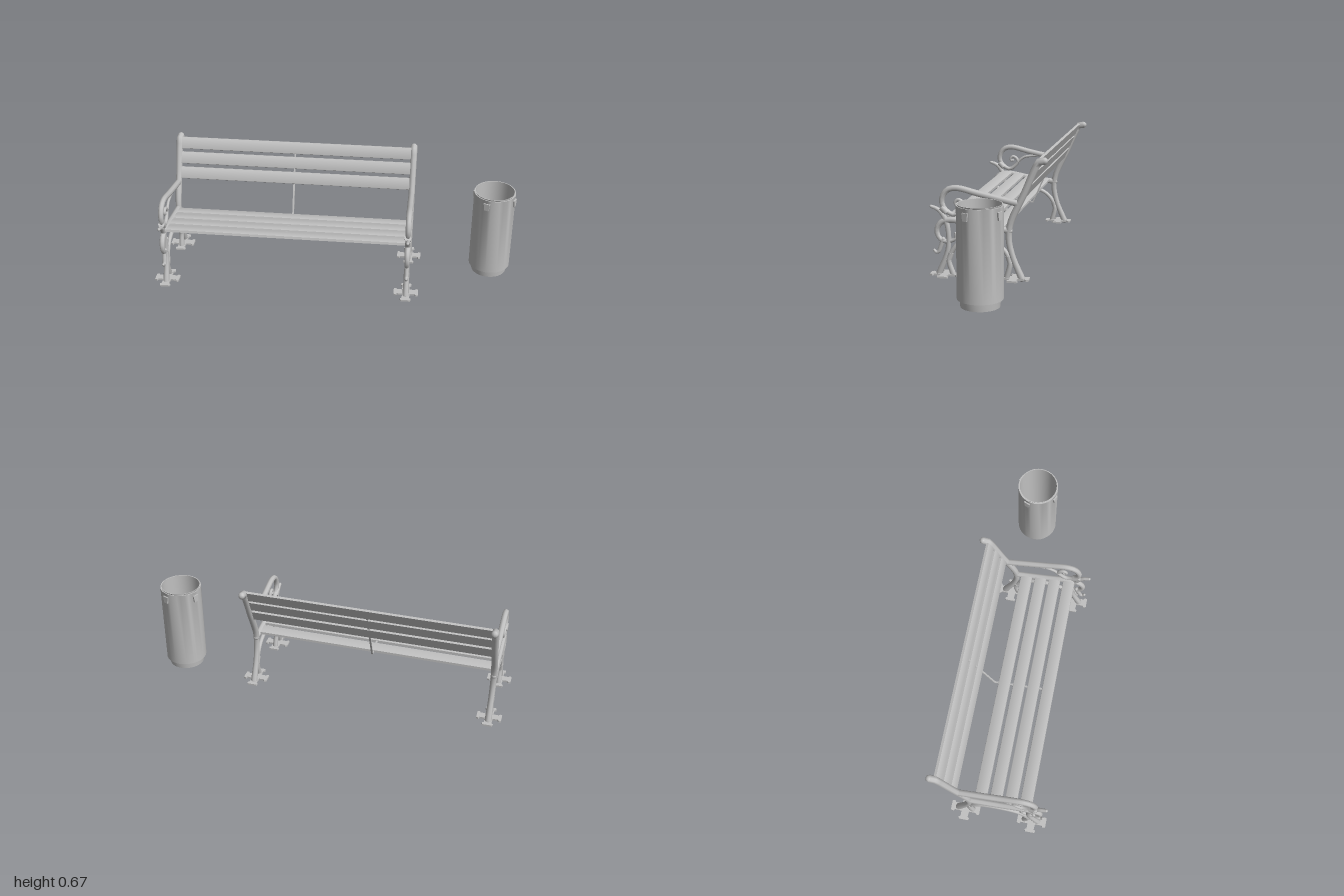
import * as THREE from 'three';
import { toCreasedNormals } from 'three/addons/utils/BufferGeometryUtils.js';

const iron = new THREE.MeshStandardMaterial({ color: 0xc0c0c0 });
iron.name = 'light grey';

function part(name, geometry, parent) {
  const mesh = new THREE.Mesh(geometry, iron);
  mesh.name = name;
  parent.add(mesh);
  return mesh;
}

// Cast rod through [z, y] points; radii are spread evenly along its length
function rod(name, points, radii, parent, steps = points.length * 3) {
  const curve = new THREE.CatmullRomCurve3(points.map(([z, y]) => new THREE.Vector3(0, y, z)), false, 'centripetal');
  const sides = 8;
  const geo = new THREE.TubeGeometry(curve, steps, 1, sides);
  const pos = geo.attributes.position;
  const v = new THREE.Vector3();
  const radiusAt = (u) => {
    const f = u * (radii.length - 1);
    const k = Math.min(Math.floor(f), radii.length - 2);
    return THREE.MathUtils.lerp(radii[k], radii[k + 1], f - k);
  };
  for (let i = 0; i <= steps; i++) {
    const c = curve.getPointAt(i / steps);
    for (let j = 0; j <= sides; j++) {
      const n = i * (sides + 1) + j;
      v.fromBufferAttribute(pos, n).sub(c).multiplyScalar(radiusAt(i / steps)).add(c);
      pos.setXYZ(n, v.x, v.y, v.z);
    }
  }
  part(name, geo, parent);
  for (const u of [0, 1]) {
    const cap = part(name + 'End', new THREE.SphereGeometry(radiusAt(u) * 0.98, 8, 6), parent);
    cap.position.copy(curve.getPointAt(u));
  }
}

// Band clamping rods together; (dz, dy) is its axis
function collar(z, y, dz, dy, radius, length, parent) {
  const band = part('collar', toCreasedNormals(new THREE.CylinderGeometry(radius, radius, length, 8), 0.9), parent);
  band.position.set(0, y, z);
  band.rotation.x = Math.atan2(dz, dy);
}

// Cross-shaped foot plate with flared arms
function footPlate(z, parent) {
  const shape = new THREE.Shape();
  const arm = [[0.02, 0.022], [0.05, 0.02], [0.056, 0.03], [0.068, 0.026], [0.068, -0.026], [0.056, -0.03], [0.05, -0.02]];
  for (let k = 0; k < 4; k++) {
    const a = -k * Math.PI / 2;
    const reach = k % 2 ? 1.19 : 1;
    arm.forEach(([px, py], i) => {
      const qx = i ? px * reach : px;
      const x = qx * Math.cos(a) - py * Math.sin(a);
      const y = qx * Math.sin(a) + py * Math.cos(a);
      if (k === 0 && i === 0) shape.moveTo(x, y);
      else shape.lineTo(x, y);
    });
  }
  const geo = new THREE.ExtrudeGeometry(shape, { depth: 0.01, bevelEnabled: false });
  geo.rotateX(-Math.PI / 2);
  part('footPlate', geo, parent).position.set(0, 0.002, z);
}

function sideFrame(x) {
  const g = new THREE.Group();
  g.name = 'sideFrame';
  g.position.x = x;

  rod('backPost', [[-0.185, 0.01], [-0.135, 0.13], [-0.115, 0.22], [-0.122, 0.3], [-0.195, 0.465], [-0.255, 0.605],
    [-0.272, 0.638], [-0.302, 0.643]], [0.019, 0.016, 0.017, 0.018, 0.018, 0.019, 0.02], g);
  rod('frontLeg', [[0.266, 0.01], [0.216, 0.15], [0.218, 0.27], [0.24, 0.33], [0.27, 0.362], [0.308, 0.376]],
    [0.018, 0.015, 0.014, 0.014, 0.015, 0.009], g);
  rod('lowerBrace', [[0.19, 0.01], [0.213, 0.09], [0.195, 0.135], [0.154, 0.185], [0.1, 0.21], [0.045, 0.217],
    [-0.01, 0.21], [-0.07, 0.18], [-0.11, 0.13], [-0.122, 0.09], [-0.105, 0.01]],
    [0.016, 0.013, 0.012, 0.013, 0.012, 0.013, 0.016], g);

  // Arm rest curling round to meet itself
  rod('armRest', [[-0.17, 0.412], [0.04, 0.455], [0.177, 0.482], [0.225, 0.464], [0.249, 0.41], [0.23, 0.363],
    [0.18, 0.337], [0.143, 0.362], [0.118, 0.394], [0.082, 0.42], [0.04, 0.428], [-0.03, 0.434]],
    [0.017, 0.017, 0.017, 0.016, 0.015, 0.012, 0.008, 0.008], g);
  rod('armScroll', [[0.122, 0.385], [0.14, 0.412], [0.16, 0.419], [0.175, 0.404], [0.17, 0.392], [0.16, 0.394]],
    [0.01, 0.01, 0.009, 0.008], g);

  // Seat rail with its front scrolls
  rod('seatRail', [[-0.12, 0.265], [0.04, 0.285], [0.198, 0.308], [0.25, 0.295], [0.277, 0.255], [0.27, 0.215],
    [0.243, 0.191], [0.2, 0.193], [0.172, 0.21], [0.174, 0.235]],
    [0.017, 0.017, 0.017, 0.017, 0.015, 0.013, 0.008], g);
  rod('lowerScroll', [[0.243, 0.2], [0.257, 0.16], [0.27, 0.13], [0.282, 0.126], [0.293, 0.136]],
    [0.013, 0.012, 0.008], g);

  collar(0.235, 0.361, -0.75, -0.65, 0.019, 0.042, g);
  collar(0.206, 0.11, -0.3, 0.95, 0.016, 0.038, g);
  collar(-0.118, 0.11, 0.3, 0.95, 0.016, 0.038, g);
  footPlate(0.233, g);
  footPlate(-0.145, g);
  return g;
}

// Slat with eased top edges, lying flat and centred on the origin
function slatGeometry(width, thick, length) {
  const w = width / 2, t = thick / 2;
  const s = new THREE.Shape();
  s.moveTo(-w, -t);
  s.lineTo(w, -t);
  s.lineTo(w, t * 0.3);
  s.quadraticCurveTo(w, t, w - 0.01, t);
  s.lineTo(-w + 0.01, t);
  s.quadraticCurveTo(-w, t, -w, t * 0.3);
  const geo = new THREE.ExtrudeGeometry(s, { depth: length, bevelEnabled: false, curveSegments: 3 });
  geo.translate(0, 0, -length / 2);
  geo.rotateY(Math.PI / 2);
  return toCreasedNormals(geo, 0.7);
}

function createBench() {
  const bench = new THREE.Group();
  bench.name = 'bench';
  const mid = -0.256;
  for (const s of [-1, 1]) bench.add(sideFrame(mid + s * 0.677));

  // Seat slats follow the sloping rail
  const seatTilt = 0.14;
  for (const z of [-0.054, 0.029, 0.111, 0.194]) {
    const slat = part('seatSlat', slatGeometry(0.066, 0.017, 1.324), bench);
    slat.position.set(mid, 0.289 + z * seatTilt, z);
    slat.rotation.x = -Math.atan(seatTilt);
  }

  // Back slats follow the leaning posts
  const lean = 0.41;
  for (const y of [0.62, 0.542, 0.462]) {
    const slat = part('backSlat', slatGeometry(0.068, 0.017, 1.324), bench);
    slat.position.set(mid, y, -0.192 - (y - 0.465) * 0.435);
    slat.rotation.x = Math.PI / 2 - lean;
  }

  // Thin middle strap joining the slats
  const strap = (z0, y0, z1, y1) => {
    const bar = part('middleStrap', new THREE.BoxGeometry(0.01, 0.007, Math.hypot(z1 - z0, y1 - y0)), bench);
    bar.position.set(mid, (y0 + y1) / 2, (z0 + z1) / 2);
    bar.rotation.x = -Math.atan2(y1 - y0, z1 - z0);
  };
  strap(-0.247, 0.592, -0.11, 0.275);
  strap(-0.112, 0.274, 0.17, 0.31);
  return bench;
}

function createBin() {
  const bin = new THREE.Group();
  bin.name = 'litterBin';
  bin.position.set(0.884, 0, -0.077);

  // Body, foot ring and hollow liner in one profile
  const profile = [[0, 0], [0.098, 0], [0.102, 0.04], [0.115, 0.04], [0.115, 0.504], [0.109, 0.504], [0.112, 0.511],
    [0.107, 0.511], [0.104, 0.05], [0, 0.05]].map(([r, y]) => new THREE.Vector2(r, y));
  part('binBody', toCreasedNormals(new THREE.LatheGeometry(profile, 32), 0.6), bin);

  // Four tapered clips near the rim
  const clip = new THREE.Shape();
  clip.moveTo(-0.012, 0.445);
  clip.lineTo(0.012, 0.445);
  clip.lineTo(0.018, 0.485);
  clip.lineTo(-0.018, 0.485);
  for (let k = 0; k < 4; k++) {
    const holder = new THREE.Group();
    holder.name = 'binClip';
    holder.rotation.y = -0.4 + k * Math.PI / 2;
    part('clipPlate', new THREE.ExtrudeGeometry(clip, { depth: 0.012, bevelEnabled: false }), holder).position.z = 0.11;
    bin.add(holder);
  }
  return bin;
}

export function createModel() {
  const model = new THREE.Group();
  model.name = 'benchAndBin';
  model.add(createBench(), createBin());
  return model;
}
